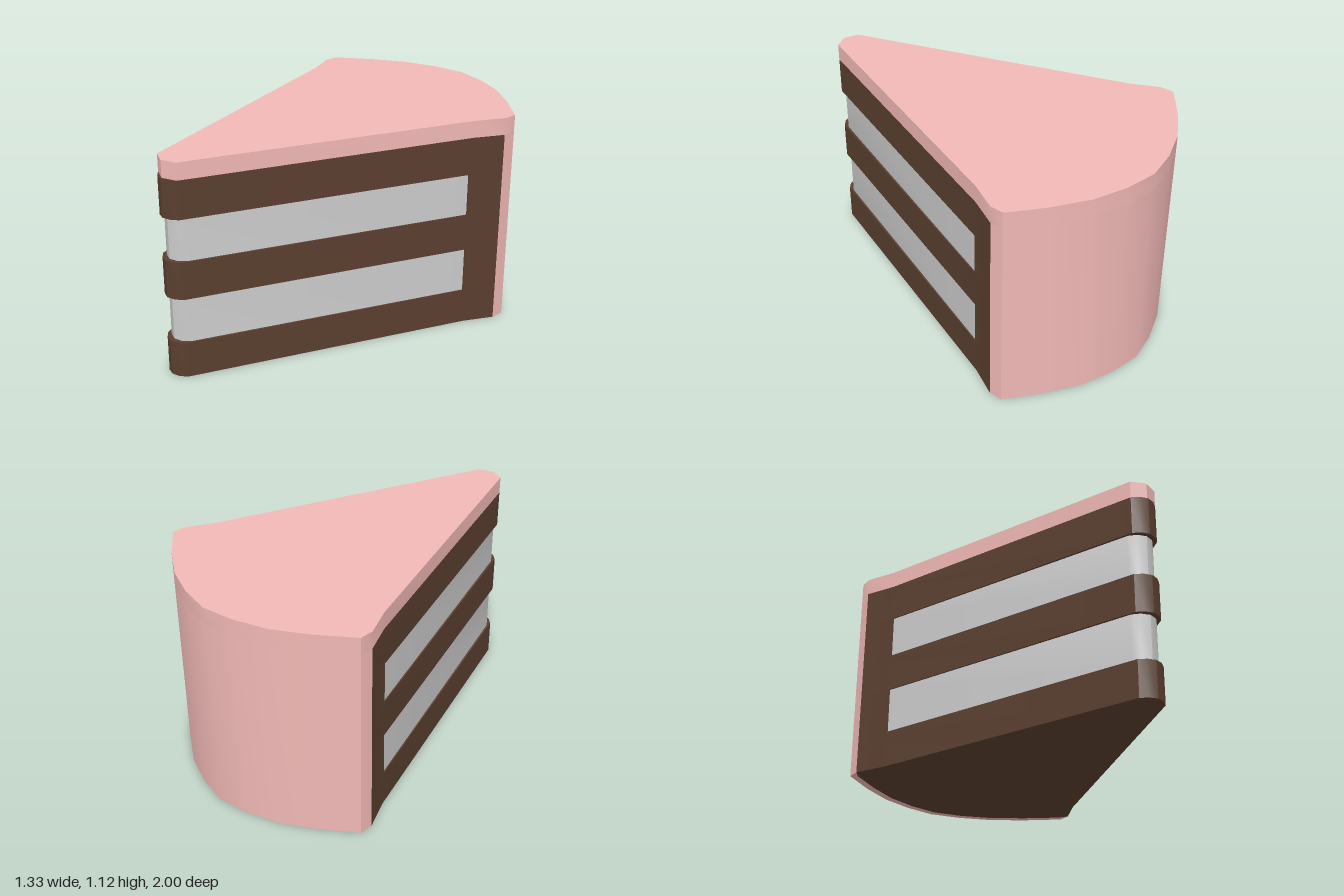
import * as THREE from 'three';
import { toCreasedNormals } from 'three/addons/utils/BufferGeometryUtils.js';

const material = (color) => new THREE.MeshStandardMaterial({ color });

// Mirrors half an outline of [x, z] points (ordered back to front) about x = 0
function mirrored(half) {
  const left = half.filter(([x]) => x > 0).reverse().map(([x, z]) => [-x, z]);
  return [...half, ...left];
}

// Upright prism over an [x, z] outline, from height y0 to y1
function slab(name, outline, y0, y1, mat) {
  const shape = new THREE.Shape(outline.map(([x, z]) => new THREE.Vector2(x, -z)));
  const extruded = new THREE.ExtrudeGeometry(shape, { depth: y1 - y0, bevelEnabled: false });
  extruded.rotateX(-Math.PI / 2).translate(0, y0, 0);
  const mesh = new THREE.Mesh(toCreasedNormals(extruded, 0.5), mat);
  mesh.name = name;
  return mesh;
}

export function createModel() {
  const group = new THREE.Group();
  group.name = 'cakeSlice';

  const pink = material(0xf0b8b5);
  const brown = material(0x5a3f2f);
  const grey = material(0xcccccc);

  // Half outlines, from the middle of the back round to the tip
  const outerArc = [[0, -1], [0.165, -0.97], [0.335, -0.907], [0.5, -0.802], [0.665, -0.67]];
  const innerArc = [[0, -0.96], [0.155, -0.932], [0.32, -0.87], [0.48, -0.768], [0.63, -0.65]];
  const side = [[0.665, -0.6], [0.59, -0.45]];
  const roundTip = [[0.075, 0.96], [0.04, 0.988], [0, 1]];

  const cakeOutline = mirrored([...innerArc, ...side, ...roundTip]);
  const cakeBackOutline = mirrored([...innerArc, ...side, [0.587, -0.44], [0, -0.44]]);
  const creamOutline = mirrored([[0, -0.44], [0.58, -0.44], [0.075, 0.928], [0.045, 0.96], [0, 0.975]]);
  const capOutline = mirrored([...outerArc, ...side, [0.075, 0.96], [0, 0.992]]);

  // Sponge layers
  const sponge = [[0, 0.187], [0.422, 0.617], [0.836, 1.032]];
  sponge.forEach(([y0, y1], i) => group.add(slab(`sponge${i + 1}`, cakeOutline, y0, y1, brown)));

  // Cream fillings, set slightly in, closed off by sponge at the back
  for (let i = 0; i < 2; i++) {
    const y0 = sponge[i][1], y1 = sponge[i + 1][0];
    group.add(slab(`cream${i + 1}`, creamOutline, y0, y1, grey));
    group.add(slab(`spongeBack${i + 1}`, cakeBackOutline, y0, y1, brown));
  }

  // Icing on top and down the curved back
  group.add(slab('icingTop', capOutline, 1.032, 1.12, pink));
  const mirrorX = ([x, z]) => [-x, z];
  const wallOutline = [
    ...outerArc.slice(1).reverse().map(mirrorX), ...outerArc, side[0],
    ...innerArc.slice().reverse(), ...innerArc.slice(1).map(mirrorX), mirrorX(side[0]),
  ];
  group.add(slab('icingBack', wallOutline, 0, 1.032, pink));

  return group;
}
